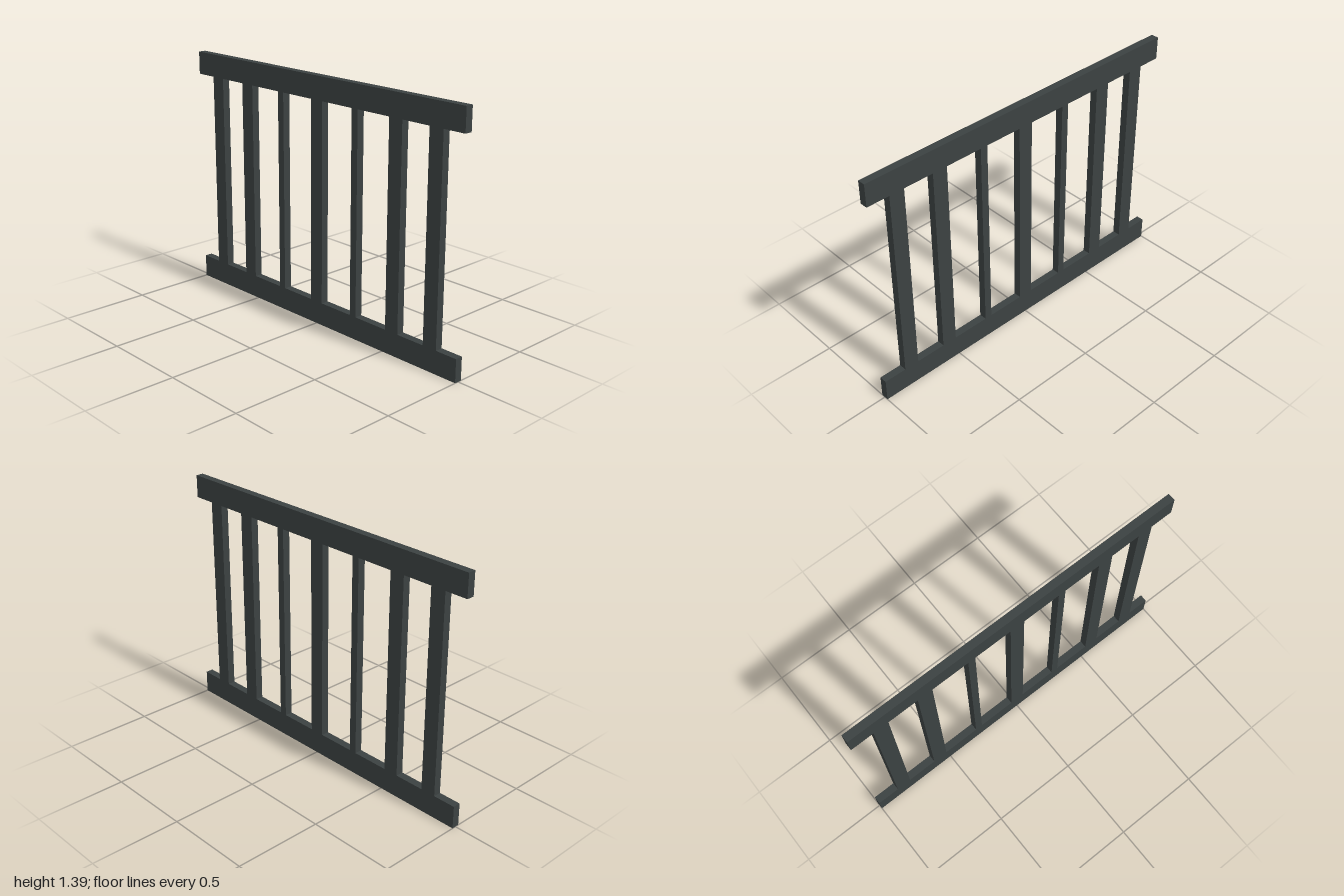
import * as THREE from 'three';

const HEIGHT = 1.392, RAIL = 0.13, DEPTH = 0.044;

export function createModel() {
  const fence = new THREE.Group();
  fence.name = 'railing';
  const iron = new THREE.MeshStandardMaterial({ color: 0x3b4141 });
  iron.name = 'dark iron';

  const addBar = (name, width, height, x, y) => {
    const bar = new THREE.Mesh(new THREE.BoxGeometry(width, height, DEPTH), iron);
    bar.name = name;
    bar.position.set(x, y, 0);
    fence.add(bar);
  };

  // Horizontal rails
  addBar('bottomRail', 2, RAIL, 0, RAIL / 2);
  addBar('topRail', 2, RAIL, 0, HEIGHT - RAIL / 2);

  // Uprights between the rails, mirrored about the centre post
  const span = HEIGHT - 2 * RAIL;
  addBar('centrePost', 0.085, span, 0, HEIGHT / 2);
  for (const [side, sign] of [['left', 1], ['right', -1]]) {
    addBar(side + 'ThinBaluster', 0.043, span, sign * 0.283, HEIGHT / 2);
    addBar(side + 'InnerPost', 0.087, span, sign * 0.565, HEIGHT / 2);
    addBar(side + 'OuterPost', 0.087, span, sign * 0.826, HEIGHT / 2);
  }
  return fence;
}
